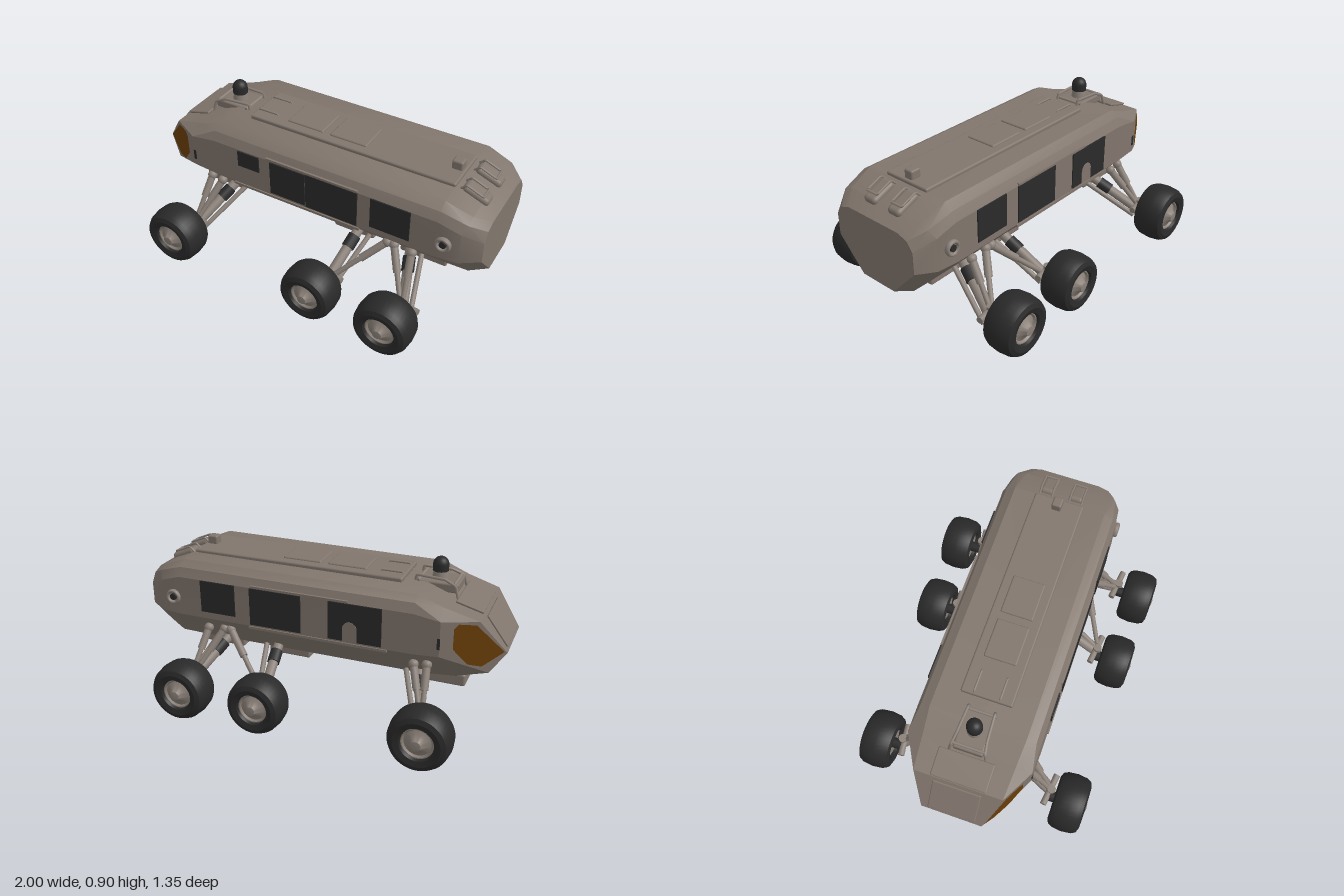
import * as THREE from 'three';
import { toCreasedNormals } from 'three/addons/utils/BufferGeometryUtils.js';
import { RoundedBoxGeometry } from 'three/addons/geometries/RoundedBoxGeometry.js';

const V = (x, y, z) => new THREE.Vector3(x, y, z);

function material(name, color) {
  const m = new THREE.MeshStandardMaterial({ color });
  m.name = name;
  return m;
}

// Polygons on the +z side, fanned into triangles and mirrored to -z
function mirroredGeometry(polys) {
  const out = [];
  for (const p of polys) {
    for (let i = 1; i < p.length - 1; i++) {
      const t = [p[0], p[i], p[i + 1]];
      for (const q of t) out.push(q[0], q[1], q[2]);
      for (const q of t.reverse()) out.push(q[0], q[1], -q[2]);
    }
  }
  const g = new THREE.BufferGeometry();
  g.setAttribute('position', new THREE.Float32BufferAttribute(out, 3));
  g.computeVertexNormals();
  return g;
}

// Hull lofted along x from half sections running top to belly
function hullGeometry() {
  const at = (x, ...yz) => yz.map(([y, z, dx = 0]) => [x + dx, y, z]);
  const sections = [
    [[-0.865, 0.68, 0.239], [-0.93, 0.593, 0.2035], [-1, 0.5, 0.165], [-0.92, 0.395, 0.209], [-0.915, 0.385, 0.13]],
    at(-0.69, [0.73, 0.25], [0.69, 0.335], [0.62, 0.335], [0.5, 0.335], [0.3, 0.13, -0.05]),
    at(-0.55, [0.785, 0.26], [0.76, 0.31], [0.71, 0.333], [0.49, 0.335], [0.287, 0.14]),
    at(0.78, [0.79, 0.26], [0.76, 0.31], [0.71, 0.333], [0.49, 0.335], [0.287, 0.14]),
    at(0.92, [0.735, 0.24], [0.715, 0.29], [0.67, 0.32, -0.02], [0.49, 0.32, -0.02], [0.29, 0.14, -0.02]),
    at(1, [0.69, 0.17], [0.67, 0.23], [0.62, 0.265], [0.5, 0.265], [0.33, 0.11]),
  ];
  const mid = ([x, y]) => [x, y, 0];
  const rings = sections.map(s => [mid(s[0]), ...s, mid(s[4])]);
  const polys = [];
  for (let i = 0; i < rings.length - 1; i++) {
    for (let j = 0; j < 6; j++) polys.push([rings[i][j], rings[i][j + 1], rings[i + 1][j + 1], rings[i + 1][j]]);
  }
  const nose = sections[0], tail = sections[5];
  for (let j = 0; j < 4; j++) {
    polys.push([nose[j], mid(nose[j]), mid(nose[j + 1]), nose[j + 1]]);
    polys.push([tail[j + 1], mid(tail[j + 1]), mid(tail[j]), tail[j]]);
  }
  return toCreasedNormals(mirroredGeometry(polys), 0.4);
}

export function createModel() {
  const root = new THREE.Group();
  root.name = 'rover';
  const hull = material('hull taupe', 0x81766d);
  const metal = material('strut grey', 0x8a8078);
  const rubber = material('tyre black', 0x29292a);
  const dark = material('window charcoal', 0x2a2a2b);
  const amber = material('amber glass', 0x6a3e08);

  const add = (name, geo, mat, x = 0, y = 0, z = 0, parent = root) => {
    const m = new THREE.Mesh(geo, mat);
    m.name = name;
    m.position.set(x, y, z);
    parent.add(m);
    return m;
  };
  const box = (name, mat, w, h, d, x, y, z) => add(name, new THREE.BoxGeometry(w, h, d), mat, x, y, z);
  const pad = (name, mat, w, h, d, x, y, z, r = 0.01) => add(name, new RoundedBoxGeometry(w, h, d, 3, r), mat, x, y, z);
  const rod = (name, mat, a, b, r, parent = root) => {
    const d = b.clone().sub(a);
    const m = add(name, new THREE.CylinderGeometry(r, r, d.length(), 12), mat, 0, 0, 0, parent);
    m.position.copy(a).add(b).multiplyScalar(0.5);
    m.quaternion.setFromUnitVectors(V(0, 1, 0), d.normalize());
    return m;
  };
  const rail = (name, pts, r = 0.006) => {
    const path = new THREE.CurvePath();
    for (let i = 0; i < pts.length - 1; i++) path.add(new THREE.LineCurve3(pts[i], pts[i + 1]));
    return add(name, new THREE.TubeGeometry(path, (pts.length - 1) * 6, r, 6), metal);
  };

  // Body shell and the amber cheek windows
  add('hull', hullGeometry(), hull);
  const cheek = [[-0.985, 0.51], [-0.885, 0.435], [-0.82, 0.452], [-0.75, 0.54], [-0.75, 0.65], [-0.77, 0.675], [-0.85, 0.665]];
  add('cheekWindows', mirroredGeometry([cheek.map(([x, y]) => [x - 0.002, y, 0.169 + 0.55 * (x + 1)])]), amber);

  // Nose panel and hood
  const nosePanel = pad('nosePanel', hull, 0.19, 0.014, 0.26, -0.935, 0.593, 0, 0.006);
  nosePanel.rotation.z = Math.atan2(0.18, 0.135);
  const hood = pad('hood', hull, 0.15, 0.014, 0.3, -0.79, 0.709, 0, 0.006);
  hood.rotation.z = 0.27;

  // Side windows: x range, y range on each side
  const windows = [
    [1, -0.385, -0.25, 0.61, 0.705], [1, -0.18, 0.035, 0.505, 0.705], [1, 0.04, 0.345, 0.5, 0.71], [1, 0.42, 0.64, 0.53, 0.71],
    [-1, -0.39, -0.1, 0.5, 0.71], [-1, 0.055, 0.35, 0.5, 0.71], [-1, 0.44, 0.646, 0.53, 0.71],
  ];
  for (const [s, x0, x1, y0, y1] of windows) {
    box('sideWindow', dark, x1 - x0, y1 - y0, 0.009, (x0 + x1) / 2, (y0 + y1) / 2, s * 0.336);
  }
  const arch = new THREE.Shape();
  arch.moveTo(-0.04, 0).lineTo(0.04, 0).lineTo(0.04, 0.07).absarc(0, 0.07, 0.04, 0, Math.PI, false);
  add('seatBack', new THREE.ExtrudeGeometry(arch, { depth: 0.004, bevelEnabled: false }), hull, -0.22, 0.5, -0.343);

  for (const s of [1, -1]) {
    // Door tracks, slit lights and round ports
    box('doorSill', hull, 0.78, 0.014, 0.014, -0.03, 0.482, s * 0.334);
    box('doorTrack', hull, 0.55, 0.012, 0.012, 0.07, 0.718, s * 0.333);
    box('slitLight', dark, 0.015, 0.06, 0.008, -0.685, 0.57, s * 0.334);
    const port = add('portRing', new THREE.TorusGeometry(0.034, 0.009, 8, 24), metal, 0.82, 0.59, s * 0.338);
    port.scale.z = 1.7;
    const cap = add('portCap', new THREE.CylinderGeometry(0.018, 0.018, 0.04, 16), dark, 0.82, 0.59, s * 0.328);
    cap.rotation.x = Math.PI / 2;

    // Roof grab rails and tail pods
    rail('roofRail', [V(-0.43, 0.78, s * 0.07), V(-0.41, 0.815, s * 0.07), V(-0.3, 0.815, s * 0.07), V(-0.28, 0.78, s * 0.07)]);
    const pod = pad('tailPod', hull, 0.15, 0.05, 0.085, 0.875, 0.754, s * 0.083, 0.022);
    pod.rotation.z = -0.38;
    rail('tailRail', [V(0.8, 0.78, s * 0.12), V(0.83, 0.808, s * 0.12), V(0.92, 0.77, s * 0.12),
      V(0.92, 0.77, s * 0.05), V(0.83, 0.808, s * 0.05), V(0.8, 0.78, s * 0.05)]);
    // Frame around the sensor
    rail('sensorFrame', [V(-0.72, 0.71, s * 0.1), V(-0.7, 0.785, s * 0.09), V(-0.64, 0.81, s * 0.08), V(-0.49, 0.815, s * 0.07), V(-0.48, 0.77, s * 0.07)], 0.008);
  }

  // Roof panel, hatches, beacon
  pad('roofPanel', hull, 1.21, 0.03, 0.28, 0.175, 0.793, 0);
  for (const x of [-0.11, 0.15]) pad('roofHatch', hull, 0.22, 0.02, 0.18, x, 0.807, 0, 0.009);
  pad('beacon', hull, 0.06, 0.07, 0.055, 0.735, 0.82, 0);

  // Sensor turret
  pad('sensorDeck', hull, 0.22, 0.05, 0.16, -0.6, 0.765, 0);
  add('sensorNeck', new THREE.CylinderGeometry(0.035, 0.045, 0.06, 16), metal, -0.595, 0.81, 0);
  add('sensorBody', new THREE.CylinderGeometry(0.042, 0.042, 0.035, 20), dark, -0.595, 0.846, 0);
  add('sensorDome', new THREE.SphereGeometry(0.042, 20, 12), dark, -0.595, 0.862, 0);
  for (const x of [-0.69, -0.5]) rod('sensorCrossbar', metal, V(x, 0.79, -0.085), V(x, 0.79, 0.085), 0.008);

  // Belly mounts for the suspension
  for (const [x, w] of [[-0.65, 0.28], [0.22, 0.25], [0.64, 0.27]]) {
    pad('bellyMount', hull, w, 0.07, 0.26, x, 0.276, 0, 0.012);
  }

  // Wheel profiles, lathed about the axle
  const lathe = (pts) => toCreasedNormals(
    new THREE.LatheGeometry(pts.map(p => new THREE.Vector2(...p)), 40).rotateX(Math.PI / 2), 0.6);
  const tyreGeo = lathe([[0.08, -0.06], [0.09, -0.082], [0.12, -0.09], [0.144, -0.08], [0.157, -0.055], [0.163, 0],
    [0.157, 0.055], [0.144, 0.08], [0.12, 0.09], [0.09, 0.082], [0.08, 0.06]]);
  const hubGeo = lathe([[0, -0.065], [0.088, -0.065], [0.088, 0.068], [0.078, 0.068], [0.07, 0.058], [0.05, 0.066],
    [0.032, 0.084], [0.026, 0.096], [0, 0.1]]);

  // Each wheel: centre, radius, upper strut mounts and lower arm mount on the hull
  const wheels = [
    { name: 'noseWheel', x: -0.68, y: 0.172, z: 0.563, r: 0.165, up: [[-0.62, 0.42], [-0.55, 0.41]], low: -0.55 },
    { name: 'middleWheel', x: 0.205, y: 0.168, z: 0.563, r: 0.157, up: [[0.5, 0.42]], low: 0.27 },
    { name: 'tailWheel', x: 0.65, y: 0.168, z: 0.573, r: 0.16, up: [[0.54, 0.42], [0.64, 0.41]], low: 0.58 },
  ];
  for (const w of wheels) for (const s of [1, -1]) {
    const unit = new THREE.Group();
    unit.name = w.name;
    unit.scale.setScalar(w.r / 0.163);
    unit.scale.z = 1;
    unit.position.set(w.x, w.y, s * w.z);
    if (s < 0) unit.rotation.y = Math.PI;
    add('tyre', tyreGeo, rubber, 0, 0, 0, unit);
    add('hub', hubGeo, metal, 0, 0, 0, unit);
    root.add(unit);

    // Knuckle, axle and arms
    const kx = w.x + 0.03, kz = s * 0.445;
    rod('knuckle', metal, V(kx, 0.1, kz), V(kx, 0.225, kz), 0.024);
    rod('axle', dark, V(w.x, w.y, s * 0.43), V(w.x, w.y, s * 0.52), 0.03);
    rod('steeringBar', metal, V(kx - 0.09, 0.19, s * 0.425), V(kx + 0.09, 0.19, s * 0.45), 0.018);
    const inner = V(w.low, 0.315, s * 0.16), outer = V(kx, 0.15, s * 0.44);
    rod('lowerArm', metal, inner, outer, 0.028);
    rod('armCollar', dark, inner.clone().lerp(outer, 0.15), inner.clone().lerp(outer, 0.38), 0.035);
    rod('lowerLink', metal, V(w.low + 0.07, 0.31, s * 0.17), V(kx + 0.04, 0.13, s * 0.43), 0.014);
    for (const [x, y] of w.up) {
      const top = V(x, y, s * 0.285), foot = V(kx + (x - kx) * 0.15, 0.2, s * 0.43);
      rod('strut', metal, top, foot, 0.014);
      rod('strutSleeve', metal, top, top.clone().lerp(foot, 0.5), 0.021);
      add('strutJoint', new THREE.SphereGeometry(0.027, 12, 8), metal, top.x, top.y, top.z);
    }
  }
  return root;
}
